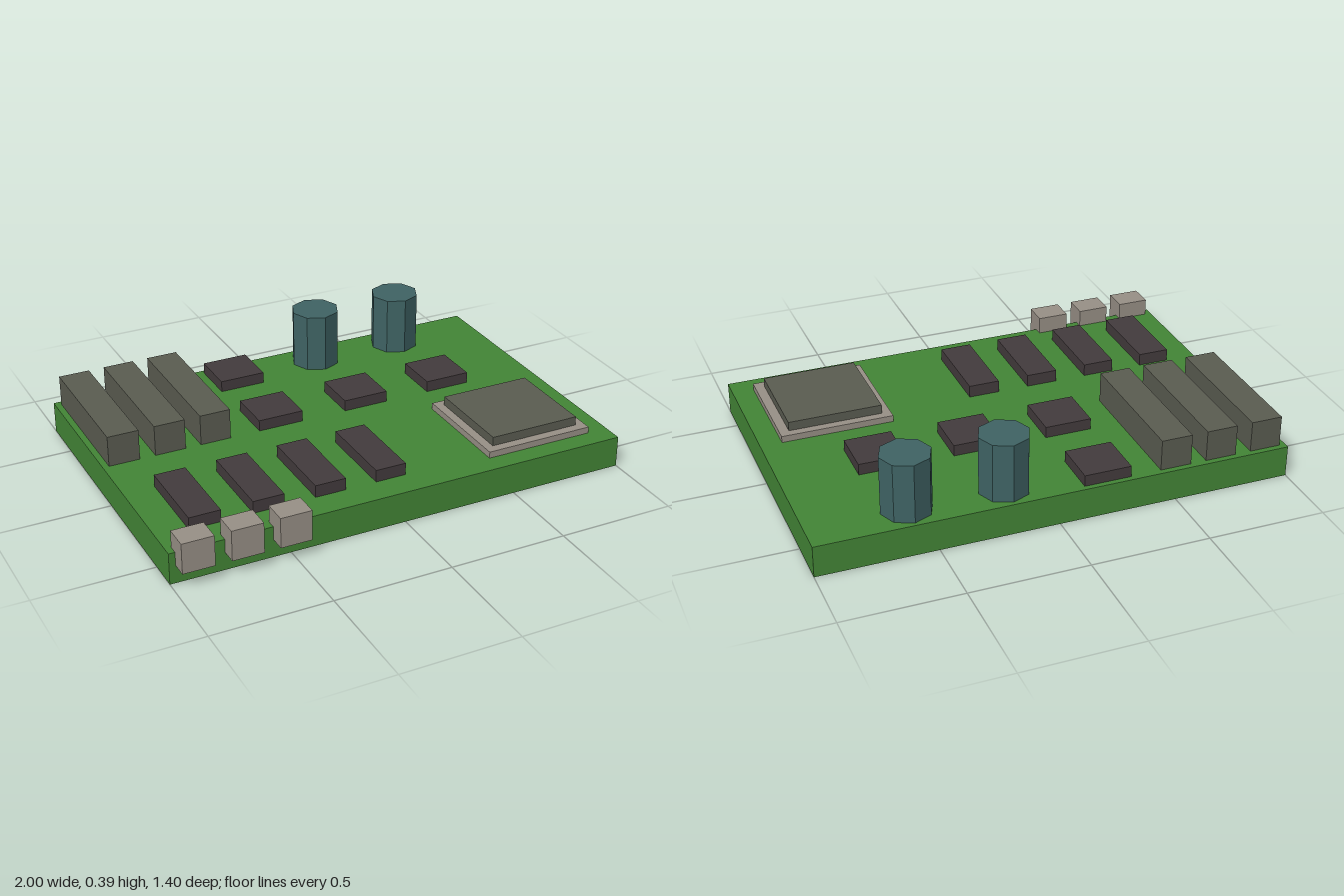
import * as THREE from 'three';

const material = (name, color) => {
  const m = new THREE.MeshStandardMaterial({ color });
  m.name = name;
  return m;
};

export function createModel() {
  const model = new THREE.Group();
  model.name = 'circuitBoard';

  const green = material('board green', 0x438536);
  const charcoal = material('chip charcoal', 0x433b3d);
  const olive = material('slot olive grey', 0x5a5c51);
  const beige = material('metal beige', 0x989086);
  const teal = material('capacitor teal', 0x3f6364);

  const TOP = 0.135; // upper face of the board

  const add = (name, geometry, mat, x, y, z) => {
    const mesh = new THREE.Mesh(geometry, mat);
    mesh.name = name;
    mesh.position.set(x, y, z);
    model.add(mesh);
  };
  // Box given by its centre in plan, its footprint and its bottom and top heights
  const block = (name, mat, x, z, w, d, y0, y1) =>
    add(name, new THREE.BoxGeometry(w, y1 - y0, d), mat, x, (y0 + y1) / 2, z);

  // Board
  block('board', green, 0, -0.0335, 2, 1.333, 0, TOP);

  // Expansion slots at the back, with a port in line at the front edge
  [-0.907, -0.707, -0.507].forEach((x, i) => {
    block(`expansionSlot${i + 1}`, olive, x, -0.377, 0.133, 0.597, TOP, 0.268);
    block(`port${i + 1}`, beige, x, 0.647, 0.133, 0.106, 0.077, 0.208);
  });

  // Square chips
  [[-0.21, -0.577], [-0.21, -0.179], [0.19, -0.179], [0.59, -0.179]].forEach(([x, z], i) =>
    block(`squareChip${i + 1}`, charcoal, x, z, 0.2, 0.2, TOP, 0.183));

  // Row of memory chips
  for (let i = 0; i < 4; i++) {
    block(`memoryChip${i + 1}`, charcoal, -0.801 + i * 0.266, 0.33, 0.133, 0.36, TOP, 0.187);
  }

  // Processor on its socket
  block('processorSocket', beige, 0.67, 0.309, 0.478, 0.475, TOP, 0.163);
  block('processor', olive, 0.669, 0.307, 0.4, 0.4, 0.163, 0.202);

  // Eight-sided capacitors
  const capacitor = new THREE.CylinderGeometry(0.106, 0.106, 0.388 - TOP, 8).toNonIndexed();
  capacitor.computeVertexNormals();
  [0.191, 0.591].forEach((x, i) =>
    add(`capacitor${i + 1}`, capacitor, teal, x, (TOP + 0.388) / 2, -0.577));

  return model;
}
